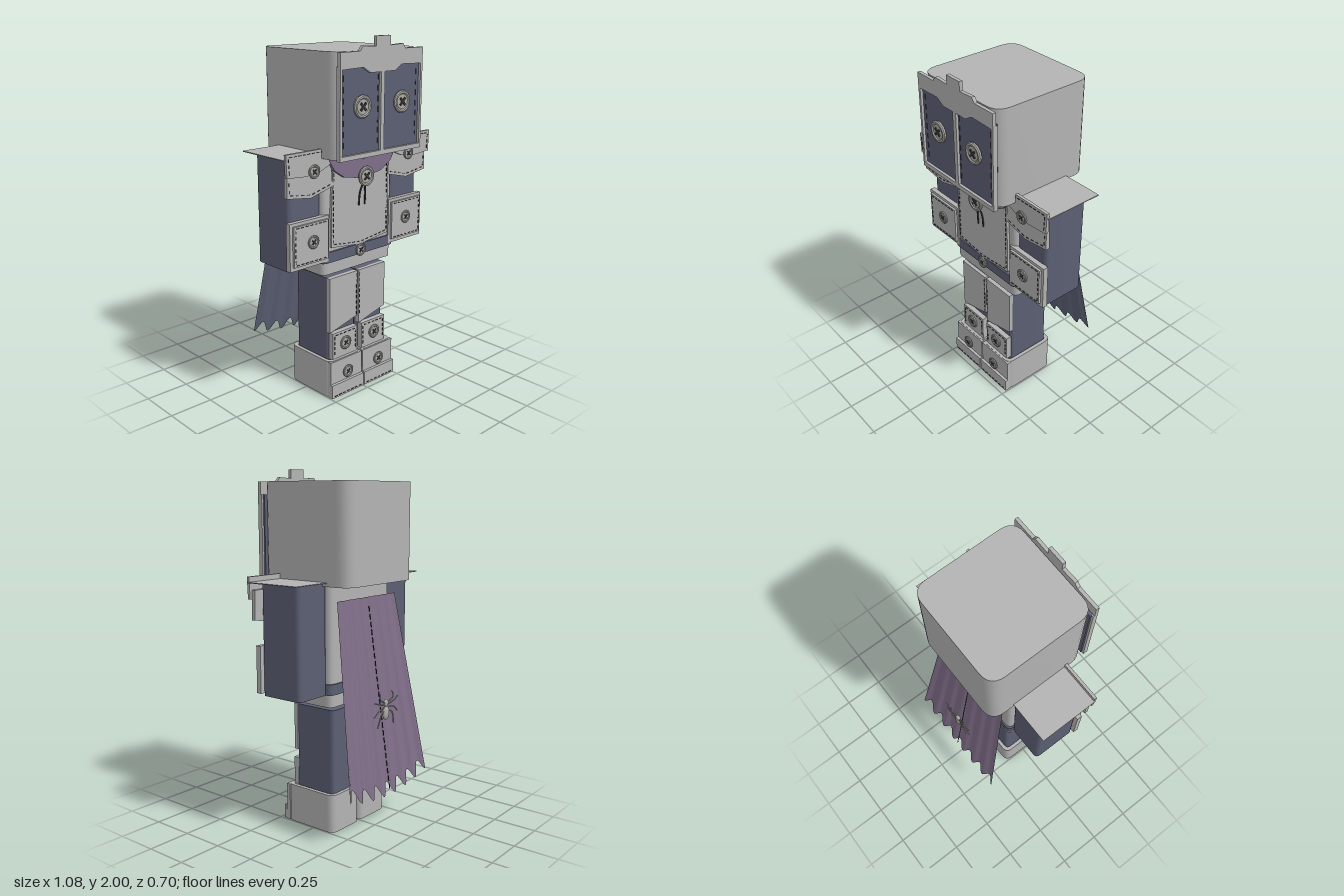
import * as THREE from 'three';
import { mergeGeometries, toCreasedNormals } from 'three/addons/utils/BufferGeometryUtils.js';

const mat = (name, color, side = THREE.FrontSide) => {
  const m = new THREE.MeshStandardMaterial({ color, side });
  m.name = name;
  return m;
};

export function createModel() {
  const root = new THREE.Group();
  root.name = 'figure';
  const grey = mat('light grey', 0xb3b3b3);
  const blue = mat('slate blue', 0x5b5f73);
  const purple = mat('dusty purple', 0x7f6e88);
  const dark = mat('dark thread', 0x3b3b42);
  const buttonGrey = mat('button grey', 0xaaa9a4);

  const add = (name, geo, material, parent = root) => {
    const m = new THREE.Mesh(geo, material);
    m.name = name;
    parent.add(m);
    return m;
  };

  const roundedRect = (P, x0, x1, z0, z1, r) => {
    const a = -z1, b = -z0;
    const s = new P();
    s.moveTo(x0 + r, a);
    s.lineTo(x1 - r, a); s.quadraticCurveTo(x1, a, x1, a + r);
    s.lineTo(x1, b - r); s.quadraticCurveTo(x1, b, x1 - r, b);
    s.lineTo(x0 + r, b); s.quadraticCurveTo(x0, b, x0, b - r);
    s.lineTo(x0, a + r); s.quadraticCurveTo(x0, a, x0 + r, a);
    return s;
  };

  // Upright block with rounded vertical edges, optionally a hollow sleeve
  const block = (name, x0, x1, y0, y1, z0, z1, r, material, wall = 0) => {
    const s = roundedRect(THREE.Shape, x0, x1, z0, z1, r);
    if (wall) s.holes.push(roundedRect(THREE.Path, x0 + wall, x1 - wall, z0 + wall, z1 - wall, r * 0.6));
    const g = new THREE.ExtrudeGeometry(s, { depth: y1 - y0, bevelEnabled: false, curveSegments: 6 });
    g.rotateX(-Math.PI / 2).translate(0, y0, 0);
    return add(name, toCreasedNormals(g, 0.6), material);
  };

  // Flat outline in the front plane
  const plate = (name, pts, z0, z1, material) => {
    const s = new THREE.Shape(pts.map(p => new THREE.Vector2(p[0], p[1])));
    const g = new THREE.ExtrudeGeometry(s, { depth: z1 - z0, bevelEnabled: false });
    return add(name, g.translate(0, 0, z0), material);
  };
  const rect = (x0, x1, y0, y1) => [[x0, y0], [x1, y0], [x1, y1], [x0, y1]];
  const flip = (pts, s) => pts.map(p => [p[0] * s, p[1]]);

  // Dashes along a line of points
  const stitch = (name, pts, z, dash = 0.018, gap = 0.012) => {
    const parts = [];
    for (let i = 0; i + 1 < pts.length; i++) {
      const [ax, ay] = pts[i], [bx, by] = pts[i + 1];
      const len = Math.hypot(bx - ax, by - ay), n = Math.max(1, Math.floor(len / (dash + gap)));
      for (let k = 0; k < n; k++) {
        const t = (k + 0.5) / n;
        parts.push(new THREE.BoxGeometry(dash, 0.004, 0.004)
          .rotateZ(Math.atan2(by - ay, bx - ax))
          .translate(ax + (bx - ax) * t, ay + (by - ay) * t, z));
      }
    }
    return add(name, mergeGeometries(parts), dark);
  };

  // Round button with a raised rim and crossed thread
  const button = (name, x, y, z, r) => {
    const g = new THREE.Group();
    g.name = name;
    const prof = [[0, 0], [0.95, 0], [1, 0.1], [1, 0.2], [0.9, 0.3], [0.75, 0.3], [0.65, 0.2], [0, 0.2]];
    const lathe = new THREE.LatheGeometry(prof.map(p => new THREE.Vector2(p[0] * r, p[1] * r)), 24);
    add('buttonDisc', toCreasedNormals(lathe.rotateX(Math.PI / 2), 0.5), buttonGrey, g);
    for (const s of [-1, 1]) {
      const bar = new THREE.BoxGeometry(r * 0.85, r * 0.18, 0.006);
      add('thread', bar.rotateZ(s * Math.PI / 4).translate(0, 0, r * 0.25), dark, g);
    }
    g.position.set(x, y, z);
    root.add(g);
  };

  // Head and face
  block('head', -0.3, 0.3, 1.39, 1.93, -0.29, 0.31, 0.085, grey);
  const brow = [[-0.3, 1.845], [-0.3, 1.93], [-0.165, 1.93], [-0.145, 1.955], [-0.052, 1.95], [-0.052, 2]];
  const browLow = [[0.3, 1.845], [0.14, 1.85], [0.09, 1.82], [-0.09, 1.82], [-0.14, 1.85]];
  plate('browPlate', [...brow, ...flip(brow, -1).reverse(), ...browLow.slice(1)], 0.318, 0.337, grey);
  plate('chinBar', rect(-0.3, 0.3, 1.39, 1.415), 0.31, 0.337, grey);
  plate('noseBar', rect(-0.013, 0.013, 1.4, 1.85), 0.31, 0.337, grey);
  for (const s of [-1, 1]) {
    plate('facePanel', flip(rect(0.01, 0.288, 1.41, 1.86), s), 0.3, 0.322, blue);
    plate('faceSideBar', flip(rect(0.286, 0.3, 1.39, 1.86), s), 0.31, 0.337, grey);
    stitch('faceStitch', flip([[0.265, 1.83], [0.265, 1.44]], s), 0.323, 0.03, 0.02);
    stitch('noseStitch', flip([[0.022, 1.82], [0.022, 1.44]], s), 0.323, 0.03, 0.02);
    button('eyeButton', s * 0.145, 1.655, 0.328, 0.06);
  }

  // Torso, belt and chest
  block('torso', -0.265, 0.265, 0.73, 1.41, -0.145, 0.165, 0.04, grey);
  block('belt', -0.275, 0.275, 0.8, 0.86, -0.153, 0.175, 0.04, blue);
  const chest = [[-0.2, 1.39], [-0.215, 1.1], [-0.215, 0.885], [0, 0.86], [0.215, 0.885], [0.215, 1.1], [0.2, 1.39]];
  plate('chestPanel', chest, 0.16, 0.18, grey);
  stitch('chestStitch', [[-0.2, 1.3], [-0.205, 0.9], [0, 0.875], [0.205, 0.9], [0.2, 1.3]], 0.181);
  plate('collar', [[-0.26, 1.39], [-0.21, 1.31], [-0.14, 1.265], [0, 1.24], [0.14, 1.265], [0.21, 1.31],
    [0.26, 1.39], [0.11, 1.388], [0, 1.345], [-0.11, 1.388]], 0.178, 0.2, purple);
  button('chestButton', 0, 1.255, 0.215, 0.056);
  button('beltButton', 0, 0.828, 0.18, 0.036);
  for (const s of [-1, 1]) {
    const c = new THREE.CatmullRomCurve3([[0.004, 1.22, 0.205], [0.02, 1.16, 0.195], [0.022, 1.09, 0.19]]
      .map(p => new THREE.Vector3(p[0] * s, p[1], p[2])));
    add('collarString', new THREE.TubeGeometry(c, 8, 0.005, 6), dark);
  }

  for (const s of [-1, 1]) {
    const span = (a, b) => (s > 0 ? [a, b] : [-b, -a]);
    // Arms, shoulder guards and cuffs
    block('arm', ...span(0.262, 0.485), 0.8, 1.405, -0.118, 0.148, 0.03, blue);
    block('shoulderCap', ...span(0.2, 0.54), 1.407, 1.412, -0.15, 0.19, 0.002, grey);
    plate('upperShoulderGuard', flip([[0.25, 1.44], [0.535, 1.44], [0.53, 1.32], [0.4, 1.31], [0.3, 1.325], [0.22, 1.36]], s), 0.182, 0.198, grey);
    plate('lowerShoulderGuard', flip([[0.22, 1.37], [0.515, 1.37], [0.52, 1.21], [0.36, 1.188], [0.21, 1.225]], s), 0.16, 0.182, grey);
    stitch('upperGuardStitch', flip([[0.28, 1.425], [0.52, 1.425], [0.515, 1.33]], s), 0.199);
    stitch('lowerGuardStitch', flip([[0.505, 1.3], [0.505, 1.225], [0.36, 1.205], [0.22, 1.24]], s), 0.183);
    plate('cuffBacking', flip(rect(0.23, 0.5, 0.812, 1.072), s), 0.145, 0.175, grey);
    plate('cuffPanel', flip(rect(0.245, 0.482, 0.835, 1.055), s), 0.175, 0.188, grey);
    stitch('cuffStitch', flip([[0.255, 0.845], [0.472, 0.845], [0.472, 1.045], [0.255, 1.045]], s), 0.189);
    button('shoulderButton', s * 0.355, 1.33, 0.199, 0.037);
    button('cuffButton', s * 0.355, 0.952, 0.189, 0.037);

    // Legs and boots
    block('leg', ...span(0.003, 0.215), 0.03, 0.7, -0.12, 0.147, 0.025, blue);
    const [a, b] = span(0.006, 0.215);
    plate('thighPanel', [[a, 0.378], [b, 0.43], [b, 0.7], [a, 0.7]], 0.14, 0.165, grey);
    plate('kneePanel', flip(rect(0.018, 0.205, 0.215, 0.375), s), 0.145, 0.178, grey);
    stitch('kneeStitch', flip([[0.03, 0.24], [0.03, 0.36], [0.192, 0.36], [0.192, 0.24]], s), 0.179);
    stitch('thighStitch', flip([[0.012, 0.69], [0.012, 0.43]], s), 0.166);
    button('kneeButton', s * 0.113, 0.3, 0.18, 0.04);
    block('boot', ...span(0.002, 0.245), 0, 0.22, -0.14, 0.195, 0.045, grey, 0.022);
    plate('bootFront', flip(rect(0.004, 0.245, 0.002, 0.218), s), 0.18, 0.203, grey);
    plate('toeCap', flip(rect(0.004, 0.247, 0.005, 0.085), s), 0.203, 0.22, grey);
    stitch('toeStitch', flip([[0.015, 0.016], [0.235, 0.016]], s), 0.221);
    button('bootButton', s * 0.122, 0.137, 0.21, 0.037);
  }

  // Pleated cape with a scalloped hem, one skin for each face
  const capeSkin = (name, turn, offset, material) => {
    const g = new THREE.PlaneGeometry(2, 1, 84, 6);
    if (turn) g.rotateY(Math.PI);
    const p = g.attributes.position;
    for (let i = 0; i < p.count; i++) {
      const u = p.getX(i), v = 0.5 - p.getY(i);
      const wave = Math.cos(u * Math.PI * 7);
      const hem = 0.245 + 0.055 * u * u + 0.035 * wave;
      p.setXYZ(i, u * (0.26 + 0.1 * v), 1.31 + (hem - 1.31) * v,
        -0.178 - 0.16 * v + (0.004 + 0.01 * v) * wave + offset);
    }
    g.computeVertexNormals();
    add(name, g, material);
  };
  capeSkin('capeLining', false, 0.002, blue);
  capeSkin('capeOuter', true, -0.002, purple);
  const seam = stitch('capeSeam', [[0, 1.04], [0, 0]], 0, 0.03, 0.012);
  seam.position.set(0, 0.24, -0.352);
  seam.rotation.x = Math.atan2(0.16, 1.06);

  // Spider emblem on the cape
  const spider = new THREE.Group();
  spider.name = 'spider';
  spider.position.set(0, 0.7, -0.318);
  root.add(spider);
  add('spiderAbdomen', new THREE.SphereGeometry(1, 16, 10).scale(0.027, 0.04, 0.014).translate(0, -0.02, 0), buttonGrey, spider);
  add('spiderHead', new THREE.SphereGeometry(1, 12, 8).scale(0.018, 0.022, 0.012).translate(0, 0.035, 0), buttonGrey, spider);
  const legs = [[0.06, 0.065, 0.055, 0.095], [0.07, 0.04, 0.11, 0.055], [0.065, 0.005, 0.11, -0.03], [0.05, -0.025, 0.075, -0.095]];
  for (const s of [-1, 1]) legs.forEach(([kx, ky, tx, ty], i) => {
    const c = new THREE.CatmullRomCurve3([
      new THREE.Vector3(0.008 * s, 0.035 - i * 0.012, 0),
      new THREE.Vector3(kx * s, ky, -0.006),
      new THREE.Vector3(tx * s, ty, 0)]);
    add('spiderLeg', new THREE.TubeGeometry(c, 8, 0.004, 5), buttonGrey, spider);
  });

  return root;
}
